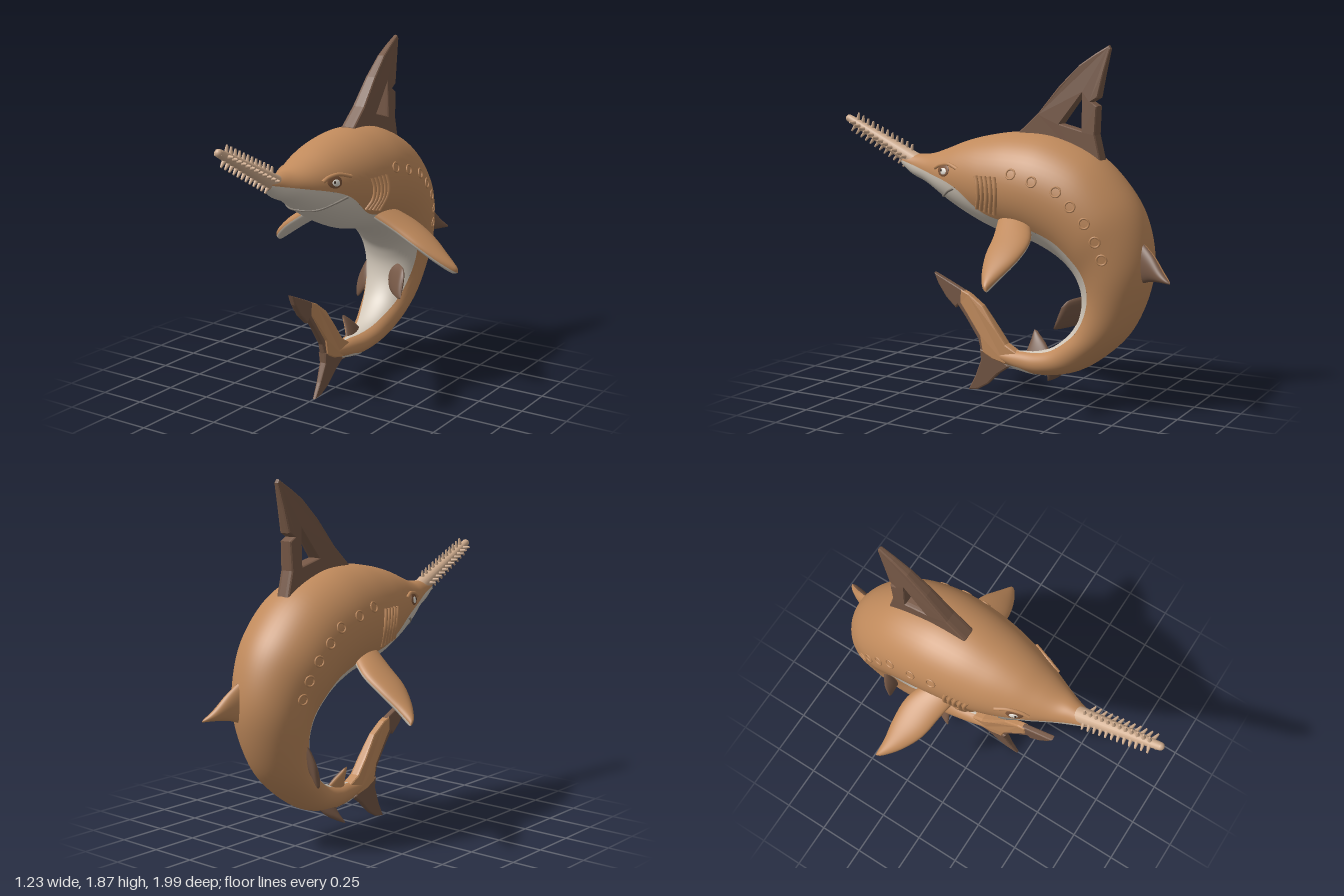
import * as THREE from 'three';

const mat = (name, color) => {
  const m = new THREE.MeshStandardMaterial({ color });
  m.name = name;
  return m;
};
const V = (x, y, z) => new THREE.Vector3(x, y, z);

// Body sections: back z, back y, belly z, belly y, half width, angle where the pale belly starts
const SECTIONS = [
  [0.60, 1.27, 0.62, 1.215, 0.035, 1.57], [0.50, 1.28, 0.55, 1.165, 0.06, 1.57],
  [0.42, 1.287, 0.44, 1.12, 0.10, 1.6], [0.32, 1.32, 0.30, 1.037, 0.155, 1.6],
  [0.20, 1.365, 0.15, 0.96, 0.205, 1.75], [0.06, 1.40, 0.0, 0.90, 0.245, 2.15],
  [-0.12, 1.422, -0.13, 0.87, 0.268, 2.25], [-0.33, 1.405, -0.24, 0.84, 0.278, 2.25],
  [-0.55, 1.315, -0.36, 0.78, 0.272, 2.2], [-0.714, 1.16, -0.44, 0.71, 0.255, 2.2],
  [-0.81, 1.0, -0.475, 0.64, 0.225, 2.15], [-0.853, 0.797, -0.485, 0.57, 0.2, 2.15],
  [-0.826, 0.61, -0.47, 0.49, 0.175, 2.2], [-0.741, 0.422, -0.43, 0.41, 0.152, 2.3],
  [-0.607, 0.283, -0.37, 0.345, 0.13, 2.45], [-0.446, 0.182, -0.29, 0.288, 0.10, 2.6],
  [-0.259, 0.139, -0.2, 0.26, 0.075, 2.75], [-0.1, 0.15, -0.1, 0.25, 0.05, 2.95],
  [0.03, 0.19, 0.03, 0.235, 0.025, 3.14],
];
const LAST = SECTIONS.length - 1;
const curve = (pts) => new THREE.CatmullRomCurve3(pts, false, 'catmullrom', 0.5);
const back = curve(SECTIONS.map((s) => V(s[0], s[1], s[4])));
const belly = curve(SECTIONS.map((s) => V(s[2], s[3], s[5])));

// Point on the body: u runs nose to tail in section numbers, a is the angle from the back
function skinPoint(u, a, off = 0) {
  const t = THREE.MathUtils.clamp(u / LAST, 0, 1);
  const T = back.getPoint(t), B = belly.getPoint(t), c = Math.cos(a);
  const p = V(-T.z * Math.sin(a), (T.y + B.y) / 2 + c * (T.y - B.y) / 2, (T.x + B.x) / 2 + c * (T.x - B.x) / 2);
  return off ? p.addScaledVector(skinNormal(u, a), off) : p;
}
function skinNormal(u, a) {
  const du = skinPoint(u + 0.05, a).sub(skinPoint(u - 0.05, a));
  const da = skinPoint(u, a + 0.02).sub(skinPoint(u, a - 0.02));
  return du.cross(da).normalize();
}
const bellyAngle = (u) => Math.min(Math.PI, belly.getPoint(u / LAST).z);

// Finds the body coordinates under a side position (z, y); side is +1 for +x
function locate(z, y, side) {
  let best = Infinity, hit = [0, 0];
  for (let i = 0; i <= 700; i++) {
    const u = (i / 700) * LAST, T = back.getPoint(u / LAST), B = belly.getPoint(u / LAST);
    const dz = T.x - B.x, dy = T.y - B.y, len = Math.hypot(dz, dy);
    const c = 2 * ((z - B.x) * dz + (y - B.y) * dy) / (len * len) - 1;
    const gap = Math.abs((z - B.x) * dy - (y - B.y) * dz) / len;
    if (Math.abs(c) < 0.99 && gap < best) { best = gap; hit = [u, -side * Math.acos(c)]; }
  }
  return hit;
}

// Smooth sheet of vertices from f(s, t), with s and t in 0..1
function grid(nu, nv, f) {
  const pos = [], idx = [];
  for (let i = 0; i <= nu; i++) for (let j = 0; j <= nv; j++) pos.push(...f(i / nu, j / nv).toArray());
  for (let i = 0; i < nu; i++) for (let j = 0; j < nv; j++) {
    const a = i * (nv + 1) + j, b = a + nv + 1;
    idx.push(a, b, a + 1, b, b + 1, a + 1);
  }
  const g = new THREE.BufferGeometry();
  g.setAttribute('position', new THREE.Float32BufferAttribute(pos, 3));
  g.setIndex(idx);
  g.computeVertexNormals();
  return g;
}

// Rounded fin lofted between two edges; from..to picks one face or the whole way round
function finGeometry(lead, trail, thick, from = 0, to = 1) {
  const L = curve(lead.map((p) => V(...p))), R = curve(trail.map((p) => V(...p)));
  const mid = (t) => L.getPoint(t).add(R.getPoint(t)).multiplyScalar(0.5);
  const n = L.getPoint(0).sub(R.getPoint(0)).cross(mid(1).sub(mid(0))).normalize();
  return grid(20, 20, (s, t) => {
    const half = L.getPoint(s).sub(R.getPoint(s)).multiplyScalar(0.5), a = (from + (to - from) * t) * Math.PI * 2;
    const h = thick * (1 - 0.6 * s * s) * Math.sqrt(1 - s ** 8);
    return mid(s).addScaledVector(half, Math.cos(a)).addScaledVector(n, Math.sin(a) * h);
  });
}

// Flat fin from a (z, y) outline; half(y) gives its half thickness
function plateGeometry(outline, half, hole) {
  const shape = new THREE.Shape(outline.map((p) => new THREE.Vector2(...p)));
  if (hole) shape.holes.push(new THREE.Path(hole.map((p) => new THREE.Vector2(...p))));
  const g = new THREE.ExtrudeGeometry(shape, {
    depth: 1, steps: 1, bevelThickness: 0.5, bevelSize: 0.008, bevelOffset: -0.008, bevelSegments: 2,
  });
  g.translate(0, 0, -0.5).rotateY(-Math.PI / 2);
  const p = g.attributes.position;
  for (let i = 0; i < p.count; i++) p.setX(i, p.getX(i) * half(p.getY(i)));
  g.computeVertexNormals();
  return g;
}

export function createModel() {
  const skin = mat('tan skin', 0xc08a5c), pale = mat('pale belly', 0xd0c6b8);
  const brown = mat('brown fins', 0x765846), fold = mat('dark tan folds', 0x7c5439);
  const bill = mat('saw bill', 0xcfac8e), lip = mat('grey lips', 0x8f867b);
  const white = mat('eye white', 0xe2ddd4), dark = mat('dark pupil', 0x3a2a22);
  const model = new THREE.Group();
  const add = (name, geo, material, parent = model) => {
    const m = new THREE.Mesh(geo, material);
    m.name = name;
    parent.add(m);
    return m;
  };
  // Fin with a different colour on each face
  const twoTone = (name, lead, trail, thick, first, second) => {
    add(name + 'FaceA', finGeometry(lead, trail, thick, 0, 0.5), first);
    add(name + 'FaceB', finGeometry(lead, trail, thick, 0.5, 1), second);
  };

  // Body in two smooth sheets that meet along the belly line
  add('bodyBack', grid(110, 40, (s, t) => skinPoint(s * LAST, bellyAngle(s * LAST) * (2 * t - 1))), skin);
  add('bodyBelly', grid(100, 24, (s, t) => {
    const u = s * 17.6, b = bellyAngle(u);
    return skinPoint(u, b + (2 * Math.PI - 2 * b) * t);
  }), pale);
  add('tailPatch', grid(16, 10, (s, t) => skinPoint(15.9 + 2 * s, (t - 0.5) * 2.1 * Math.sin(Math.PI * (0.08 + 0.84 * s)), 0.004)), pale);

  // Saw bill with four rows of blunt teeth
  const saw = new THREE.Group();
  saw.name = 'sawBill';
  saw.position.set(0, 1.2, 0.46);
  saw.rotation.x = Math.atan2(0.53, 0.266);
  model.add(saw);
  add('billBlade', new THREE.CylinderGeometry(0.021, 0.048, 0.575, 20).translate(0, 0.2875, 0), bill, saw);
  add('billTip', new THREE.SphereGeometry(0.021, 16, 10).translate(0, 0.575, 0), bill, saw);
  for (let i = 0; i < 12; i++) for (let k = 0; k < 4; k++) {
    const s = 0.14 + i * 0.035, r = 0.05 - 0.035 * s, a = (k * Math.PI) / 2;
    const c = add('sawTooth', new THREE.CylinderGeometry(0.005, 0.014, 0.052, 8), bill, saw);
    c.position.set(Math.cos(a) * r, s, Math.sin(a) * r);
    c.quaternion.setFromUnitVectors(V(0, 1, 0), V(Math.cos(a), 0.3, Math.sin(a)).normalize());
  }

  // Tube that follows the skin through side positions
  const skinTube = (name, pts, side, r, material) => {
    const path = curve(pts.map(([z, y]) => skinPoint(...locate(z, y, side), r * 0.2)));
    add(name, new THREE.TubeGeometry(path, 20, r, 8), material);
  };
  const place = (mesh, z, y, side, off) => {
    const [u, a] = locate(z, y, side);
    mesh.position.copy(skinPoint(u, a, off));
    mesh.quaternion.setFromUnitVectors(V(0, 0, 1), skinNormal(u, a));
  };

  // Eyes, brows, gills and side pits on both sides
  const pits = [[-0.184, 1.225], [-0.307, 1.193], [-0.436, 1.15], [-0.516, 1.08], [-0.59, 1.0], [-0.64, 0.91], [-0.67, 0.82]];
  for (const side of [1, -1]) {
    place(add('eyeSocket', new THREE.SphereGeometry(0.046, 18, 12).scale(1, 0.75, 0.15), fold), 0.262, 1.217, side, 0);
    place(add('eye', new THREE.SphereGeometry(0.028, 18, 12).scale(1, 0.75, 0.4), white), 0.258, 1.21, side, 0);
    place(add('pupil', new THREE.SphereGeometry(0.007, 12, 8).scale(1, 1, 0.4), dark), 0.27, 1.213, side, 0.011);
    skinTube('brow', [[0.33, 1.222], [0.29, 1.24], [0.23, 1.248], [0.16, 1.23]], side, 0.01, skin);
    for (let i = 0; i < 5; i++) {
      const z = 0.025 - i * 0.028, low = 1.035 - i * 0.006;
      skinTube('gill', [[z, 1.205], [z - 0.012, 1.15], [z - 0.012, 1.09], [z + 0.012, low]], side, 0.011, skin);
    }
    for (const [z, y] of pits) {
      place(add('pitRim', new THREE.TorusGeometry(0.025, 0.005, 8, 20), skin), z, y, side, 0);
    }
  }

  // Mouth line around the jaw
  const jaw = [[3.9, 1.76], [3.5, 1.95], [2.95, 2.5], [2.65, Math.PI]];
  const mouth = [...jaw, ...jaw.slice(0, 3).reverse().map(([u, a]) => [u, 2 * Math.PI - a])];
  add('mouth', new THREE.TubeGeometry(curve(mouth.map(([u, a]) => skinPoint(u, a))), 48, 0.007, 8), lip);

  // Tall back fin with a window and a notch
  add('backFin', plateGeometry(
    [[-0.1, 1.36], [-0.115, 1.425], [-0.22, 1.52], [-0.34, 1.665], [-0.447, 1.77], [-0.53, 1.825], [-0.605, 1.868],
      [-0.615, 1.85], [-0.585, 1.73], [-0.558, 1.605], [-0.522, 1.585], [-0.555, 1.565], [-0.548, 1.42], [-0.58, 1.29], [-0.5, 1.25]],
    (y) => 0.012 + 0.029 * (1 - THREE.MathUtils.clamp((y - 1.35) / 0.52, 0, 1) ** 2),
    [[-0.468, 1.625], [-0.35, 1.47], [-0.468, 1.44]]), brown);

  // Side fins, tan above and pale below; the -x one sweeps further back
  const span = [[0.17, 0.985, -0.07, -0.25], [0.3, 0.905, -0.11, -0.32], [0.42, 0.83, -0.13, -0.318],
    [0.52, 0.76, -0.165, -0.28], [0.59, 0.71, -0.205, -0.25], [0.612, 0.692, -0.232, -0.24]];
  for (const side of [1, -1]) {
    const edge = (k) => span.map((s) => [side * s[0], s[1], s[k] - (side < 0 ? 0.09 * Math.max(0, (s[0] - 0.3) / 0.31) ** 2 : 0)]);
    twoTone('sideFin', edge(2), edge(3), 0.042, side > 0 ? skin : pale, side > 0 ? pale : skin);
  }

  // Belly fin pair and lower tail fin
  add('bellyFin', finGeometry([[0.04, 0.6, -0.53], [0.1, 0.598, -0.5], [0.15, 0.585, -0.46], [0.172, 0.55, -0.43]],
    [[0.04, 0.45, -0.5], [0.1, 0.435, -0.44], [0.15, 0.43, -0.4], [0.178, 0.435, -0.388]], 0.024), brown);
  add('bellyFin', finGeometry([[-0.11, 0.58, -0.6], [-0.16, 0.57, -0.59], [-0.2, 0.48, -0.57], [-0.21, 0.39, -0.55]],
    [[-0.11, 0.42, -0.53], [-0.15, 0.4, -0.53], [-0.195, 0.35, -0.54], [-0.21, 0.36, -0.545]], 0.022), brown);
  add('lowerTailFin', finGeometry([[-0.02, 0.19, -0.37], [-0.06, 0.13, -0.32], [-0.1, 0.08, -0.235]],
    [[-0.02, 0.19, -0.23], [-0.06, 0.13, -0.235], [-0.1, 0.075, -0.22]], 0.02), brown);

  // Rear back fin and inner tail fin, tan on the -x face and brown on the other
  twoTone('rearBackFin', [[0.06, 0.9, -0.82], [0.085, 0.84, -0.89], [0.113, 0.77, -0.95], [0.14, 0.722, -1.0]],
    [[0.06, 0.69, -0.82], [0.085, 0.71, -0.88], [0.113, 0.715, -0.94], [0.14, 0.715, -1.0]], 0.034, skin, brown);
  twoTone('innerTailFin', [[-0.01, 0.23, -0.13], [-0.035, 0.3, -0.15], [-0.06, 0.362, -0.16]],
    [[-0.01, 0.24, -0.29], [-0.035, 0.3, -0.24], [-0.06, 0.355, -0.178]], 0.022, skin, brown);

  // Tail: tan upper lobe with brown tip, brown trailing edge and lower lobe
  add('tailUpperLobe', plateGeometry([[-0.1, 0.24], [-0.03, 0.28], [0.03, 0.36], [0.115, 0.475], [0.2, 0.535], [0.25, 0.555],
    [0.255, 0.48], [0.207, 0.415], [0.127, 0.31], [0.11, 0.22], [0.05, 0.19], [-0.03, 0.17]], (y) => (y > 0.4 ? 0.02 : 0.03)), skin);
  add('tailTip', plateGeometry([[0.23, 0.548], [0.31, 0.585], [0.42, 0.633], [0.395, 0.575], [0.345, 0.503], [0.285, 0.448],
    [0.27, 0.465], [0.22, 0.4], [0.145, 0.29], [0.12, 0.2], [0.1, 0.28], [0.2, 0.42]], () => 0.017), brown);
  add('tailLowerLobe', plateGeometry([[0.13, 0.24], [0.125, 0.18], [0.165, 0.08], [0.208, 0], [0.15, 0.008], [0.09, 0.042],
    [0.02, 0.11], [-0.05, 0.16], [0.03, 0.21]], (y) => 0.01 + 0.07 * y), brown);
  return model;
}
